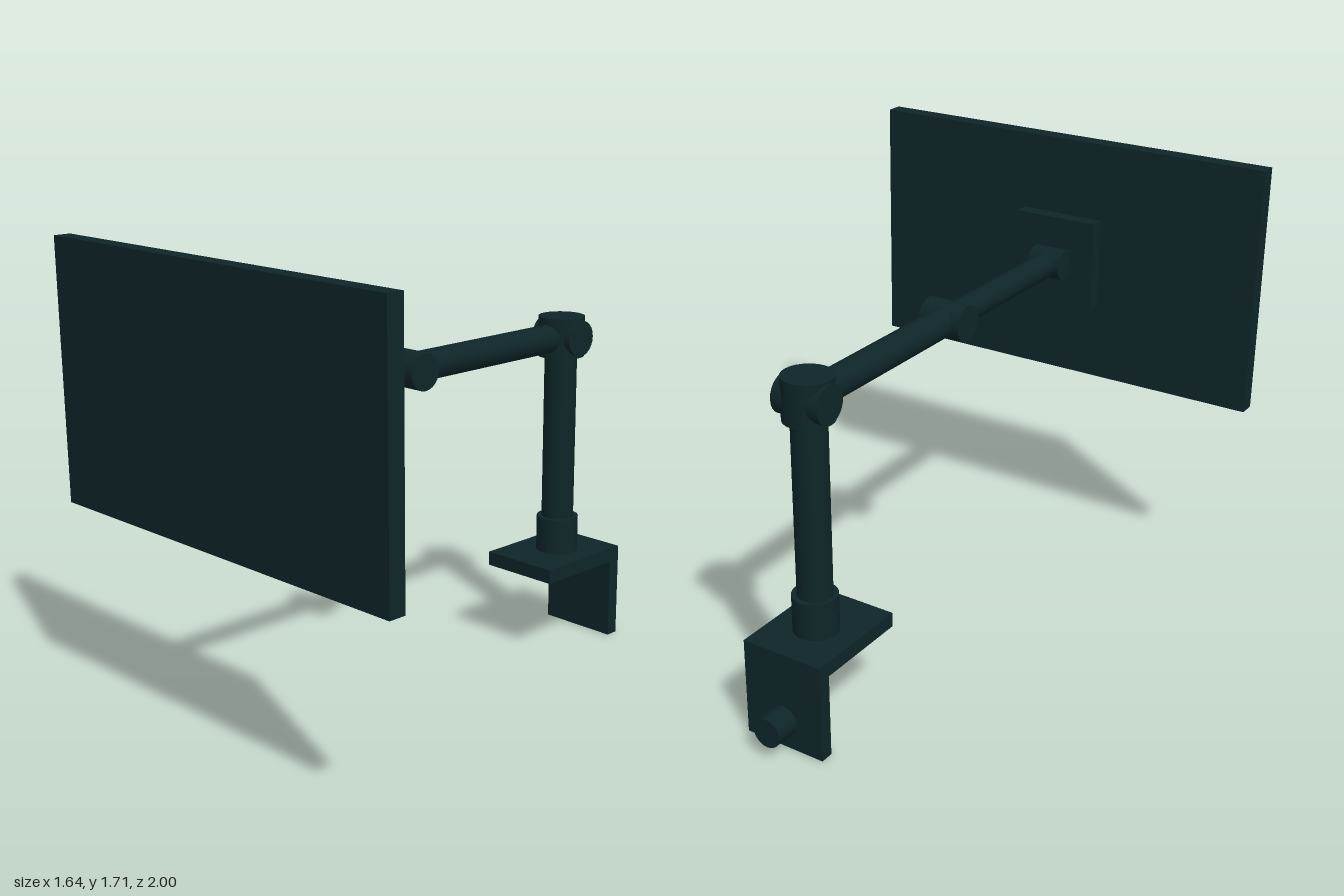
import * as THREE from 'three';

export function createModel() {
  const group = new THREE.Group();
  const darkTeal = new THREE.MeshStandardMaterial({ color: 0x0e2527 });
  darkTeal.name = 'darkTeal';

  const add = (name, geometry, x, y, z) => {
    const mesh = new THREE.Mesh(geometry, darkTeal);
    mesh.name = name;
    mesh.position.set(x, y, z);
    group.add(mesh);
  };
  // box from its y and z limits, centred on x
  const box = (name, width, y0, y1, z0, z1) =>
    add(name, new THREE.BoxGeometry(width, y1 - y0, z1 - z0), 0, (y0 + y1) / 2, (z0 + z1) / 2);
  // cylinder along a chosen axis
  const rod = (name, axis, radius, length, y, z) => {
    const geometry = new THREE.CylinderGeometry(radius, radius, length, 24);
    if (axis === 'x') geometry.rotateZ(Math.PI / 2);
    if (axis === 'z') geometry.rotateX(Math.PI / 2);
    add(name, geometry, 0, y, z);
  };

  const armY = 1.235, postZ = -0.71, elbowZ = 0.115, tiltZ = 0.85;

  // desk clamp
  box('clampTop', 0.32, 0.315, 0.37, -0.905, -0.485);
  box('clampBack', 0.32, 0, 0.315, -0.905, -0.855);
  rod('clampKnob', 'z', 0.055, 0.1, 0.108, -0.95);

  // upright post
  rod('postCollar', 'y', 0.082, 0.14, 0.44, postZ);
  rod('post', 'y', 0.063, 0.83, 0.785, postZ);

  // shoulder: vertical hub crossed by a horizontal pivot
  rod('shoulderHub', 'y', 0.09, 0.155, 1.2375, postZ);
  rod('shoulderPivot', 'x', 0.07, 0.186, armY, -0.718);

  // arms and joints
  rod('rearArm', 'z', 0.055, elbowZ - postZ, armY, (elbowZ + postZ) / 2);
  rod('elbow', 'x', 0.068, 0.165, armY, elbowZ);
  rod('frontArm', 'z', 0.049, tiltZ - elbowZ, armY, (tiltZ + elbowZ) / 2);
  rod('tiltJoint', 'x', 0.06, 0.135, armY, tiltZ);

  // screen
  box('mountPlate', 0.34, 1.06, 1.41, 0.88, 0.936);
  box('screen', 1.64, 0.76, 1.71, 0.936, 1);

  return group;
}
